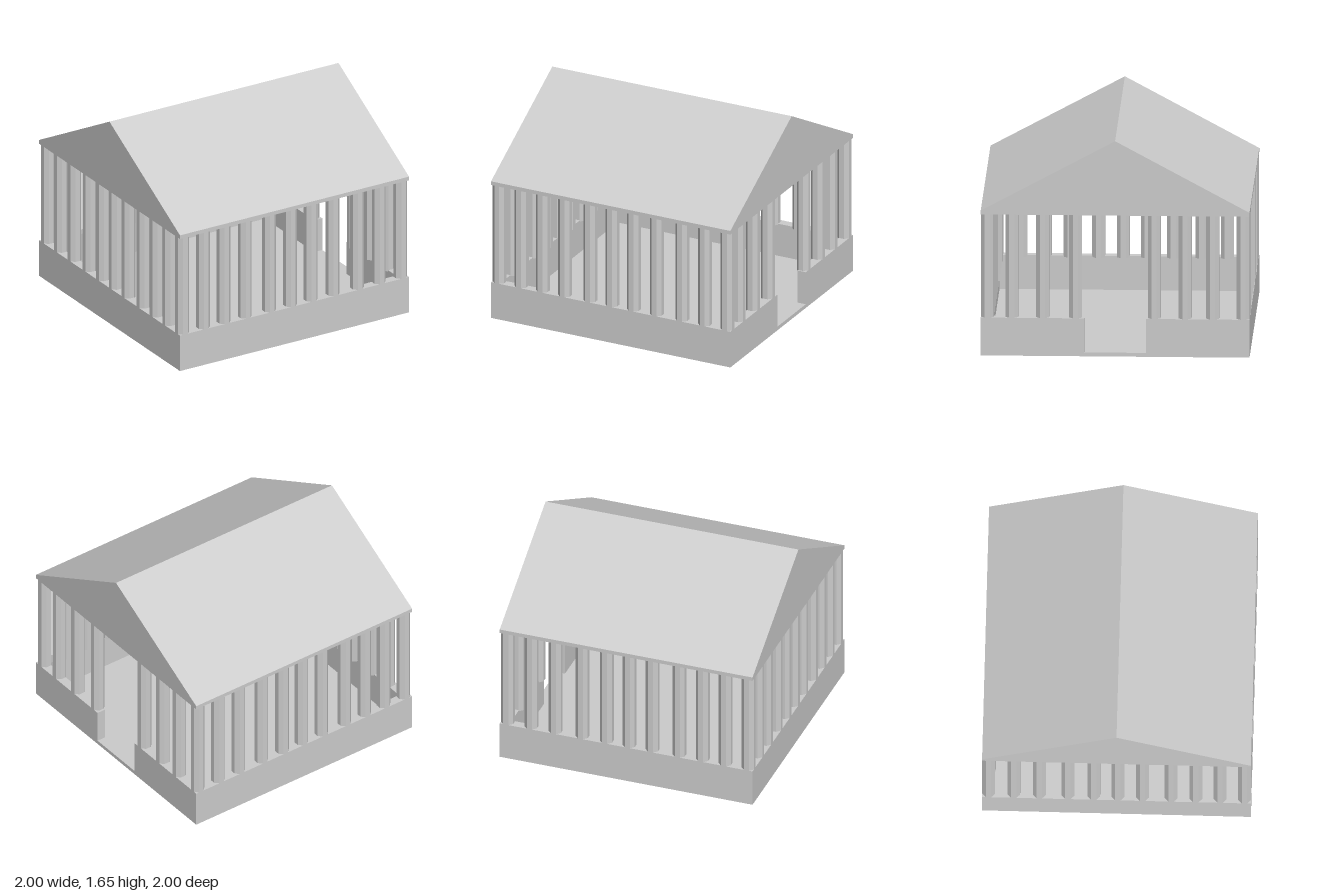
import * as THREE from 'three';

const FLOOR = 0.03, WALL = 0.29, EAVE = 1.08, THICK = 0.07, INSET = 0.952;

export function createModel() {
  const model = new THREE.Group();
  model.name = 'pavilion';
  const material = new THREE.MeshStandardMaterial({ color: 0xcccccc, flatShading: true });

  const add = (name, geometry, x = 0, y = 0, z = 0) => {
    const mesh = new THREE.Mesh(geometry, material);
    mesh.name = name;
    mesh.position.set(x, y, z);
    model.add(mesh);
    return mesh;
  };
  // Box given by its minimum and maximum on each axis
  const addBox = (name, x0, x1, y0, y1, z0, z1) =>
    add(name, new THREE.BoxGeometry(x1 - x0, y1 - y0, z1 - z0),
      (x0 + x1) / 2, (y0 + y1) / 2, (z0 + z1) / 2);

  // Floor slab and low walls, with a doorway in the +x side
  const inner = 1 - THICK, door = 0.23;
  addBox('floor', -1, 1, 0, FLOOR, -1, 1);
  addBox('frontWall', -1, 1, FLOOR, WALL, inner, 1);
  addBox('backWall', -1, 1, FLOOR, WALL, -1, -inner);
  addBox('closedSideWall', -1, -inner, FLOOR, WALL, -inner, inner);
  addBox('doorWallFront', inner, 1, FLOOR, WALL, door, inner);
  addBox('doorWallBack', inner, 1, FLOOR, WALL, -inner, -door);

  // Octagonal columns with a flat facet facing outwards
  const bottom = WALL - 0.01;
  const apothem = 0.048;
  const columnGeometry = new THREE.CylinderGeometry(
    apothem / Math.cos(Math.PI / 8), apothem / Math.cos(Math.PI / 8), EAVE - bottom, 8);
  columnGeometry.rotateY(Math.PI / 8);
  const addColumn = (name, x, z) => add(name, columnGeometry, x, (bottom + EAVE) / 2, z);

  const spacing = [-0.952, -0.77, -0.59, -0.405, -0.193, -0.01, 0.17, 0.362, 0.575, 0.765, 0.952];
  for (const p of spacing) {
    addColumn('frontColumn', p, INSET);
    addColumn('backColumn', p, -INSET);
  }
  // Corner columns already stand on the front and back rows
  for (const p of spacing.slice(1, -1)) addColumn('closedSideColumn', -INSET, -p);
  for (const z of [0.77, 0.54, 0.295, -0.29, -0.52, -0.725]) addColumn('doorSideColumn', INSET, z);

  // Gabled roof with a thin vertical eave and a flat ceiling, ridge along x
  const gable = new THREE.Shape([[-1, EAVE], [1, EAVE], [1, 1.11], [0, 1.65], [-1, 1.11]]
    .map(([z, y]) => new THREE.Vector2(z, y)));
  const roof = new THREE.ExtrudeGeometry(gable, { depth: 2, bevelEnabled: false });
  roof.translate(0, 0, -1);
  roof.rotateY(Math.PI / 2);
  add('roof', roof);

  return model;
}
